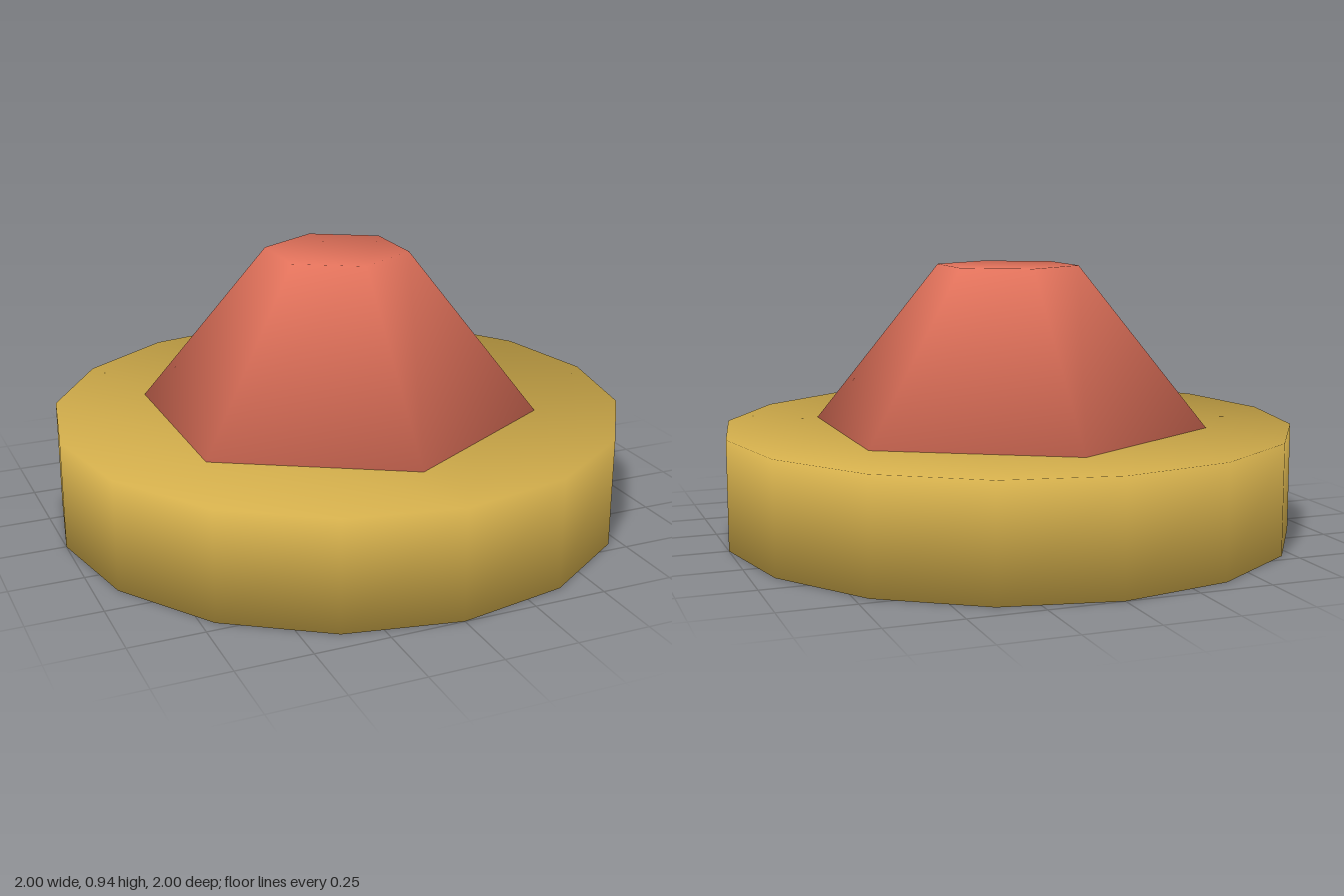
import * as THREE from 'three';

const gold = new THREE.MeshStandardMaterial({ color: 0xd4af4c });
gold.name = 'gold';
const coral = new THREE.MeshStandardMaterial({ color: 0xe2725b });
coral.name = 'coral';

// Closed prism or frustum whose rim normals are shared by walls and caps.
// Each ring is { y, radius, tilt }, tilt being the upward angle of its normals.
function smoothFrustum(name, sides, bottom, top, material) {
  const positions = [], normals = [], index = [];
  for (const { y, radius, tilt } of [bottom, top]) {
    for (let i = 0; i < sides; i++) {
      const a = (i / sides) * Math.PI * 2;
      const s = Math.sin(a), c = Math.cos(a), out = Math.cos(tilt);
      positions.push(s * radius, y, c * radius);
      normals.push(s * out, Math.sin(tilt), c * out);
    }
  }
  // walls
  for (let i = 0; i < sides; i++) {
    const j = (i + 1) % sides;
    index.push(i, j, sides + j, i, sides + j, sides + i);
  }
  // caps
  for (let i = 1; i < sides - 1; i++) {
    index.push(0, i + 1, i, sides, sides + i, sides + i + 1);
  }
  const geometry = new THREE.BufferGeometry();
  geometry.setAttribute('position', new THREE.Float32BufferAttribute(positions, 3));
  geometry.setAttribute('normal', new THREE.Float32BufferAttribute(normals, 3));
  geometry.setIndex(index);
  const mesh = new THREE.Mesh(geometry, material);
  mesh.name = name;
  return mesh;
}

export function createModel() {
  const model = new THREE.Group();
  model.name = 'hexagonalButton';

  // sixteen-sided disc
  model.add(smoothFrustum('base', 16,
    { y: 0, radius: 1, tilt: -0.76 },
    { y: 0.38, radius: 1, tilt: 0.76 }, gold));

  // six-sided tapered knob
  model.add(smoothFrustum('knob', 6,
    { y: 0.38, radius: 0.7, tilt: -0.24 },
    { y: 0.94, radius: 0.25, tilt: 0.93 }, coral));

  return model;
}
